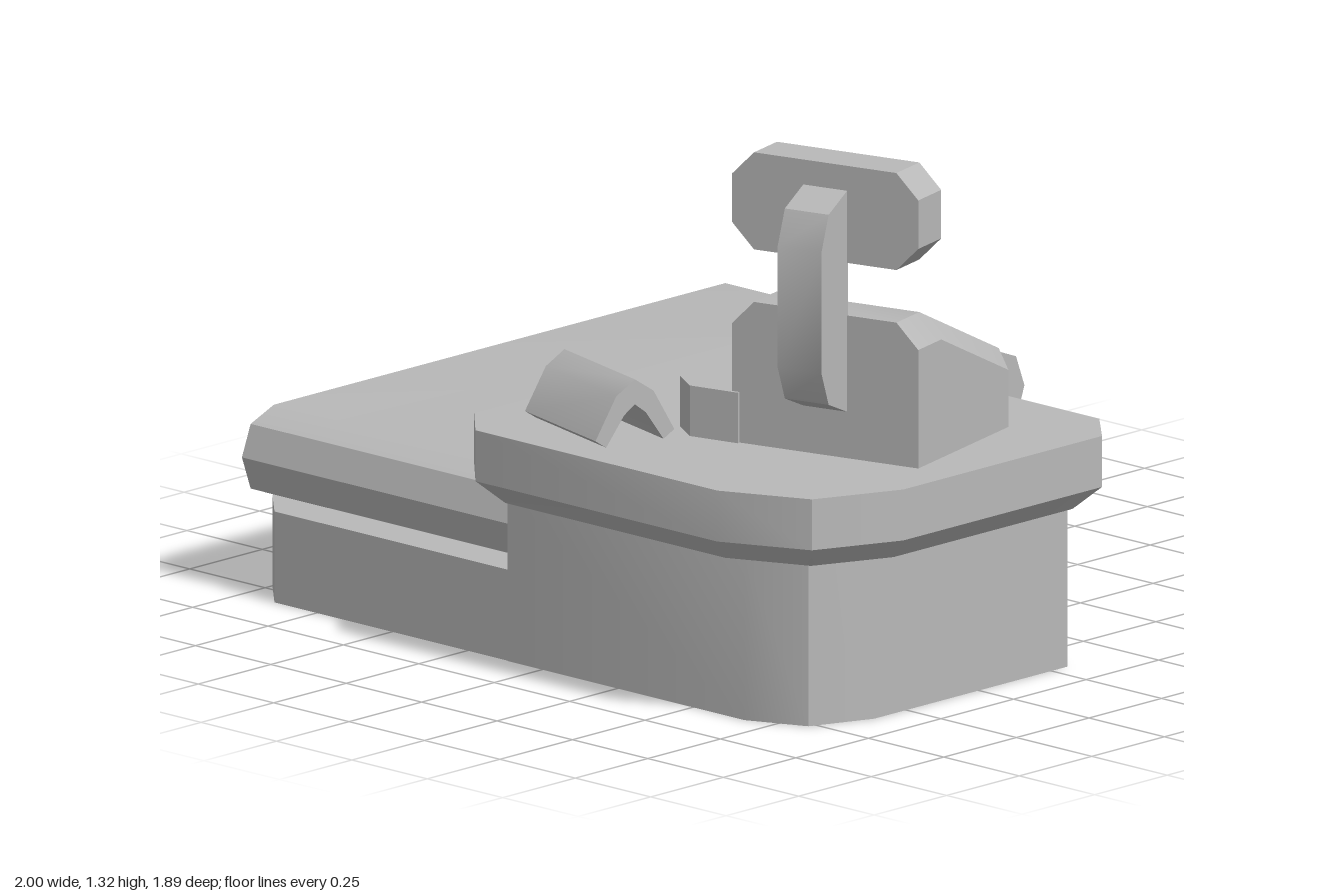
import * as THREE from 'three';
import { toCreasedNormals } from 'three/addons/utils/BufferGeometryUtils.js';
import { ConvexGeometry } from 'three/addons/geometries/ConvexGeometry.js';

const grey = new THREE.MeshStandardMaterial({ color: 0xb8b8b8 });
grey.name = 'plain grey';

function part(name, geometry, parent) {
  const mesh = new THREE.Mesh(toCreasedNormals(geometry, 0.54), grey);
  mesh.name = name;
  parent.add(mesh);
  return mesh;
}

const extrude = (points, depth) => new THREE.ExtrudeGeometry(
  new THREE.Shape(points.map(([a, b]) => new THREE.Vector2(a, b))),
  { depth, bevelEnabled: false });

// Upright prism over a floor plan of [x, z] points
function planPrism(plan, y0, y1) {
  return extrude(plan.map(([x, z]) => [x, -z]), y1 - y0).rotateX(-Math.PI / 2).translate(0, y0, 0);
}

// Prism along x over a side profile of [z, y] points
function sidePrism(profile, x0, x1) {
  return extrude(profile, x1 - x0).rotateY(-Math.PI / 2).translate(x1, 0, 0);
}

const hull = (points) => new ConvexGeometry(points.map((p) => new THREE.Vector3(...p)));

export function createModel() {
  const model = new THREE.Group();
  model.name = 'checkoutCounter';

  // L-shaped base: low part under the belt, taller part under the till
  part('beltBase', planPrism([
    [-0.115, -0.835], [-0.22, -0.945], [-0.89, -0.945], [-1, -0.84],
    [-1, 0.725], [-0.89, 0.832], [-0.115, 0.832],
  ], 0, 0.225), model);
  part('tillBase', planPrism([
    [-0.115, -0.055], [0.885, -0.055], [0.885, 0.61], [0.82, 0.77], [0.67, 0.835], [-0.115, 0.835],
  ], 0, 0.415), model);

  // Conveyor belt with rounded ends
  part('conveyorBelt', sidePrism([
    [0.72, 0.447], [0.8, 0.415], [0.83, 0.338], [0.8, 0.255], [0.72, 0.225],
    [-0.835, 0.225], [-0.917, 0.255], [-0.946, 0.338], [-0.917, 0.415], [-0.835, 0.447],
  ], -1, -0.115), model);

  // Countertop with cut corners and a bevelled underside
  const top = [
    [-0.225, -0.055], [-0.115, -0.165], [0.885, -0.165], [1, -0.055], [1, 0.63],
    [0.906, 0.847], [0.687, 0.945], [-0.115, 0.945], [-0.225, 0.835],
  ];
  const inset = top.map(([x, z]) => [0.388 + (x - 0.388) * 0.91, 0.39 + (z - 0.39) * 0.9]);
  part('countertop', hull([
    ...top.map(([x, z]) => [x, 0.592, z]),
    ...top.map(([x, z]) => [x, 0.466, z]),
    ...inset.map(([x, z]) => [x, 0.41, z]),
  ]), model);

  // Till, turned on the countertop; its front face is the local z = 0 plane
  const till = new THREE.Group();
  till.name = 'till';
  till.position.set(0.645, 0, 0.53);
  till.rotation.y = 0.255;
  model.add(till);

  const body = [];
  for (const s of [-1, 1]) {
    for (const z of [0, -0.112]) {
      body.push([s * 0.255, 0.885, z], [s * 0.195, 0.945, z]);
    }
    body.push(
      [s * 0.255, 0.58, 0], [s * 0.255, 0.58, -0.44], [s * 0.195, 0.58, -0.5],
      [s * 0.255, 0.733, -0.44], [s * 0.195, 0.765, -0.5]);
  }
  part('tillBody', hull(body), till);

  // Display with cut corners
  part('display', extrude([
    [-0.255, 1.135], [-0.195, 1.075], [0.195, 1.075], [0.255, 1.135],
    [0.255, 1.255], [0.195, 1.315], [-0.195, 1.315], [-0.255, 1.255],
  ], 0.112).translate(0, 0, -0.112), till);

  // Post holding the display in front of the body
  part('displayPost', sidePrism([
    [-0.004, 1.255], [0.09, 1.215], [0.125, 1.13], [0.125, 0.83], [0.09, 0.745], [-0.004, 0.705],
  ], -0.06, 0.06), till);

  // Low box at the side of the till
  part('sideBox', planPrism([
    [0.32, 0.19], [0.18, 0.222], [0.136, 0.302], [0.211, 0.58], [0.291, 0.628], [0.42, 0.597],
  ], 0.58, 0.717), model);

  // Bent card reader
  const reader = part('cardReader', sidePrism([
    [0.11, 0.612], [0.052, 0.715], [0, 0.75], [-0.052, 0.715], [-0.11, 0.612],
    [-0.08, 0.592], [-0.03, 0.665], [0, 0.688], [0.03, 0.665], [0.08, 0.592],
  ], -0.163, 0.163), model);
  reader.position.set(0.085, 0, 0.725);
  reader.rotation.y = -0.262;

  return model;
}
